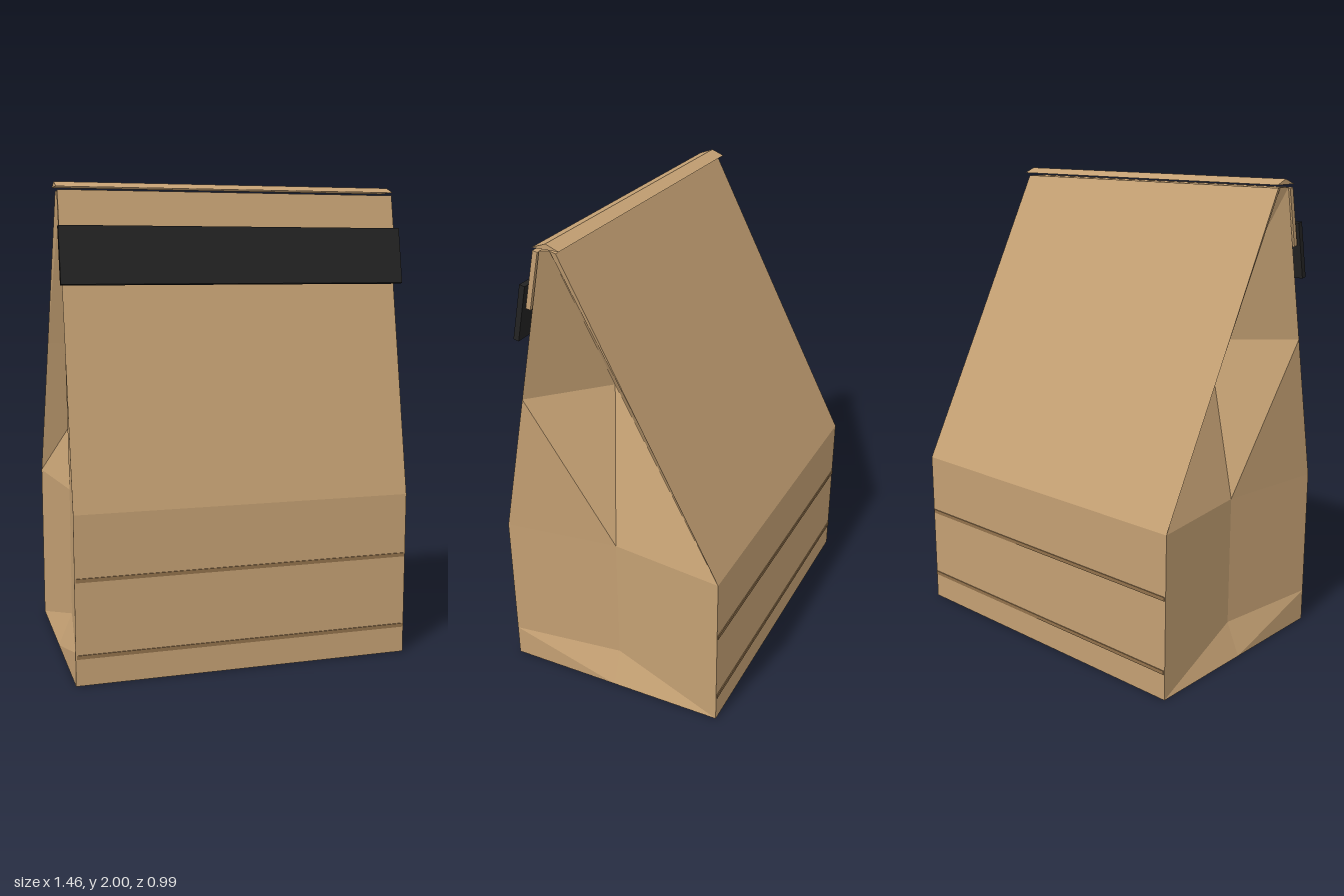
import * as THREE from 'three';

const paper = new THREE.MeshStandardMaterial({ color: 0xc4a073, side: THREE.DoubleSide });
paper.name = 'kraft paper';
const creaseTone = new THREE.MeshStandardMaterial({ color: 0x92724c });
creaseTone.name = 'crease brown';
const black = new THREE.MeshStandardMaterial({ color: 0x232323 });
black.name = 'black';

const HALF_W = 0.715;

// Bag levels: height, front z, back z, gusset fold z, gusset fold x
const LEVELS = [
  [0, 0.49, -0.49, 0, 0.715],
  [0.14, 0.49, -0.49, 0, 0.655],
  [0.7, 0.49, -0.49, 0, 0.655],
  [1.33, 0.366, -0.16, 0.1, 0.44],
  [1.965, 0.24, 0.17, 0.205, 0.7],
];

// Six-point rings joined into a folded paper skin
function bagGeometry() {
  const positions = [];
  for (const [y, front, back, foldZ, foldX] of LEVELS) {
    positions.push(
      HALF_W, y, front, foldX, y, foldZ, HALF_W, y, back,
      -HALF_W, y, back, -foldX, y, foldZ, -HALF_W, y, front);
  }
  const index = [];
  for (let r = 0; r < LEVELS.length - 1; r++) {
    for (let i = 0; i < 6; i++) {
      const a = r * 6 + i, b = r * 6 + (i + 1) % 6;
      // mirror the quad diagonals so both gussets crease alike
      if (i < 3) index.push(a, b, a + 6, b, b + 6, a + 6);
      else index.push(a, b, b + 6, a, b + 6, a + 6);
    }
  }
  const top = (LEVELS.length - 1) * 6;
  for (const [a, b, c] of [[0, 1, 5], [1, 4, 5], [1, 2, 4], [2, 3, 4]]) {
    index.push(c, b, a, top + a, top + b, top + c);
  }
  const indexed = new THREE.BufferGeometry();
  indexed.setAttribute('position', new THREE.Float32BufferAttribute(positions, 3));
  indexed.setIndex(index);
  const geometry = indexed.toNonIndexed();
  geometry.computeVertexNormals();
  return geometry;
}

// A [z, y] side profile stretched across the bag's width
function strip(name, profile, halfWidth, material) {
  const shape = new THREE.Shape(profile.map(([z, y]) => new THREE.Vector2(-z, y)));
  const geometry = new THREE.ExtrudeGeometry(shape, { depth: halfWidth * 2, bevelEnabled: false });
  geometry.translate(0, 0, -halfWidth);
  geometry.rotateY(Math.PI / 2);
  const mesh = new THREE.Mesh(geometry, material);
  mesh.name = name;
  return mesh;
}

export function createModel() {
  const group = new THREE.Group();
  group.name = 'paperBag';

  const body = new THREE.Mesh(bagGeometry(), paper);
  body.name = 'bagBody';
  group.add(body);

  // Rolled ridge and the flap folded over to the front
  group.add(strip('ridgeCap', [[0.15, 1.978], [0.205, 2], [0.265, 1.978]], 0.725, paper));
  group.add(strip('foldedFlap', [[0.245, 1.96], [0.265, 1.965], [0.313, 1.73], [0.293, 1.725]], 0.72, paper));

  // Closing band across the flap
  group.add(strip('closingBand', [[0.305, 1.82], [0.328, 1.825], [0.374, 1.595], [0.351, 1.59]], 0.728, black));

  // Horizontal creases on the front and back
  for (const side of [1, -1]) {
    for (const y of [0.12, 0.435]) {
      const crease = new THREE.Mesh(new THREE.BoxGeometry(1.42, 0.016, 0.008), creaseTone);
      crease.name = side > 0 ? 'frontCrease' : 'backCrease';
      crease.position.set(0, y, side * 0.49);
      group.add(crease);
    }
  }
  return group;
}
